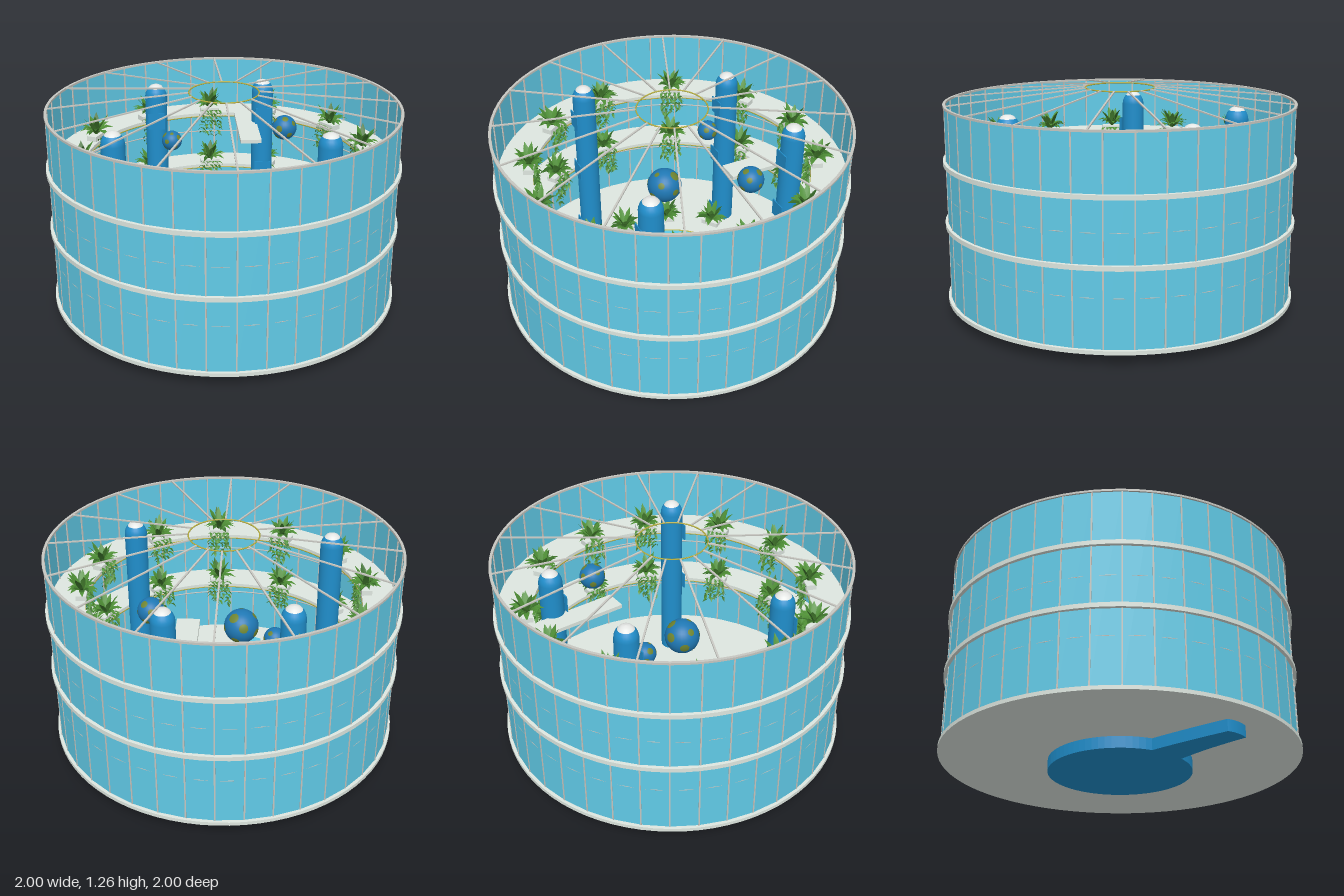
import * as THREE from 'three';
import { mergeGeometries, toCreasedNormals } from 'three/addons/utils/BufferGeometryUtils.js';

const mat = (name, color, double = false) => {
  const m = new THREE.MeshStandardMaterial({ color });
  m.name = name;
  if (double) m.side = THREE.DoubleSide;
  return m;
};

export function createModel() {
  const root = new THREE.Group();
  root.name = 'roundGlassAtrium';
  const M = {
    glass: mat('glass blue', 0x62cdea, true),
    slab: mat('pale concrete', 0xdde6df),
    metal: mat('frame grey', 0xc6c6c0),
    blue: mat('deep blue', 0x208ecb),
    sea: mat('sea blue', 0x1f78b4),
    white: mat('white', 0xf8faf8),
    olive: mat('olive trim', 0xbdb440),
    land: mat('land green', 0x6f8430),
    leaf: mat('leaf green', 0x4f9036, true),
    darkLeaf: mat('dark leaf green', 0x3a7029, true),
  };
  const add = (name, geo, m, parent = root) => {
    const mesh = new THREE.Mesh(geo, m);
    mesh.name = name;
    parent.add(mesh);
    return mesh;
  };
  let seed = 7;
  const rnd = () => (seed = (seed * 16807) % 2147483647) / 2147483647;

  // flat ring with a rectangular section
  const annulus = (ri, ro, y0, y1) => {
    const p = [[ri, y0], [ro, y0], [ro, y1], [ri, y1], [ri, y0]].map(a => new THREE.Vector2(...a));
    return toCreasedNormals(new THREE.LatheGeometry(p, 80), 0.6);
  };
  const hoop = (r, tube, y, arc = Math.PI * 2, start = 0) =>
    new THREE.TorusGeometry(r, tube, 5, 80, arc).rotateZ(start).rotateX(-Math.PI / 2).translate(0, y, 0);

  // floors: ground disc and two galleries
  add('groundFloor', new THREE.CylinderGeometry(1, 1, 0.021, 80).translate(0, 0.0755, 0), M.slab);
  const levels = [0.523, 0.876];
  for (const y of levels) {
    add('gallery', annulus(0.78, 1, y - 0.025, y), M.slab);
    add('galleryTrim', hoop(0.782, 0.005, y - 0.022), M.olive);
  }
  add('bridge', new THREE.BoxGeometry(0.125, 0.022, 0.53).translate(0.18, 0.865, -0.525), M.slab);

  // glass drum and its frame
  const N = 40, R = 0.983;
  const glass = new THREE.CylinderGeometry(R, R, 1.1, N, 1, true).toNonIndexed();
  glass.computeVertexNormals();
  add('glassWall', glass.translate(0, 0.632, 0), M.glass);
  const bars = [];
  for (let i = 0; i < N; i++)
    bars.push(new THREE.BoxGeometry(0.008, 1.1, 0.01).translate(0, 0.632, R - 0.002).rotateY(i * Math.PI * 2 / N));
  add('mullions', mergeGeometries(bars), M.metal);
  for (const y of [0.352, 0.683]) add('transom', hoop(R - 0.005, 0.004, y), M.metal);
  add('topRim', annulus(0.975, 0.99, 1.174, 1.186), M.metal);

  // roof ribs and centre hoop
  const ribs = [];
  const dx = 0.785, dy = 0.077;
  for (let i = 0; i < 16; i++)
    ribs.push(new THREE.BoxGeometry(Math.hypot(dx, dy), 0.007, 0.01)
      .rotateZ(-Math.atan2(dy, dx)).translate(0.59, 1.22, 0).rotateY(i * Math.PI / 8));
  add('roofRibs', mergeGeometries(ribs), M.metal);
  add('roofHoop', hoop(0.195, 0.004, 1.258), M.olive);

  // pool with a curved outlet channel
  const pool = new THREE.Shape();
  pool.moveTo(0, -0.4);
  pool.absarc(0, 0, 0.4, -Math.PI / 2, Math.PI * 4 / 3, false);
  pool.quadraticCurveTo(-0.215, -0.55, -0.21, -0.8);
  pool.quadraticCurveTo(-0.16, -0.835, -0.08, -0.83);
  pool.quadraticCurveTo(-0.055, -0.58, 0, -0.4);
  add('poolBasin', new THREE.ExtrudeGeometry(pool, { depth: 0.085, bevelEnabled: false, curveSegments: 32 })
    .rotateX(-Math.PI / 2), M.blue);
  add('poolWater', new THREE.ShapeGeometry(pool, 32).rotateX(-Math.PI / 2).translate(0, 0.089, 0), M.glass);
  add('poolTrim', hoop(0.4, 0.005, 0.089, Math.PI * 11 / 6, -Math.PI / 2), M.olive);

  // four lift towers with white caps and flush front doors
  const profile = pts => pts.map(a => new THREE.Vector2(...a));
  const shaft = new THREE.LatheGeometry(profile([[0.066, 0.086], [0.066, 1.07], [0.063, 1.09], [0.056, 1.108], [0.045, 1.122]]), 24);
  const cap = new THREE.LatheGeometry(profile([[0.045, 1.122], [0.035, 1.134], [0.02, 1.141], [0, 1.144]]), 24);
  for (const [x, z] of [[-0.38, -0.55], [0.28, -0.61], [-0.61, 0.28], [0.54, 0.38]]) {
    const tower = new THREE.Group();
    tower.name = 'liftTower';
    tower.position.set(x, 0, z);
    add('shaft', shaft, M.blue, tower);
    add('cap', cap, M.white, tower);
    for (const y of [0.086, ...levels])
      add('door', new THREE.BoxGeometry(0.1, 0.1, 0.006).translate(0, y + 0.05, 0.066), M.blue, tower);
    root.add(tower);
  }

  // hanging globes with patches of land
  for (const [x, y, z, r] of [[-0.1, 0.68, 0, 0.1], [0.38, 0.94, -0.29, 0.073], [-0.29, 0.84, -0.38, 0.06]]) {
    const globe = new THREE.Group();
    globe.name = 'globe';
    globe.position.set(x, y, z);
    add('sea', new THREE.SphereGeometry(r, 28, 18), M.sea, globe);
    const patches = [];
    for (let i = 0; i < 11; i++)
      patches.push(new THREE.SphereGeometry(r * 1.012, 9, 3, 0, Math.PI * 2, 0, 0.16 + 0.16 * rnd())
        .rotateX(0.5 + 0.18 * i).rotateY(i * 2.4));
    add('land', mergeGeometries(patches), M.land, globe);
    root.add(globe);
  }

  // arched tapering leaf growing along +z
  const leaf = (len, width, rise, droop) => {
    const g = new THREE.PlaneGeometry(1, 1, 2, 3);
    const p = g.attributes.position;
    for (let i = 0; i < p.count; i++) {
      const t = p.getY(i) + 0.5, s = p.getX(i) * 2;
      const w = width * 0.5 * Math.sin(Math.PI * (0.12 + 0.88 * t));
      // the blade runs base to tip so that its face points up
      p.setXYZ(i, -s * w, rise * t - droop * t * t + Math.abs(s) * w * 0.25, len * t);
    }
    g.computeVertexNormals();
    return g;
  };
  const light = [], dark = [];
  const plant = (x, y, z) => {
    for (let i = 0; i < 26; i++) {
      const inner = i % 3 === 0;
      const g = leaf((inner ? 0.05 : 0.075) + 0.035 * rnd(), 0.036, (inner ? 0.12 : 0.1) + 0.04 * rnd(), inner ? 0.03 : 0.085);
      (i % 4 === 1 ? dark : light).push(g.rotateY(i * 2.4 + rnd() * 0.4).translate(x, y, z));
    }
  };
  // trailing strand hung from a gallery edge
  const vine = (angle, y) => {
    const x = 0.765 * Math.cos(angle), z = 0.765 * Math.sin(angle), n = 5 + Math.floor(rnd() * 4);
    for (let i = 0; i < n; i++)
      for (const side of [0, 2.6])
        (i % 2 ? dark : light).push(leaf(0.028, 0.018, 0.005, 0.025)
          .rotateY(side + rnd() * 2).translate(x, y - i * 0.023, z));
  };

  // gallery planters, repeated on both levels
  const spots = [[-0.04, -0.81], [0.32, -0.75], [0.68, -0.45], [0.8, -0.04], [0.74, 0.32], [0.44, 0.67],
    [0.07, 0.81], [-0.33, 0.73], [-0.66, 0.47], [-0.8, 0.1], [-0.74, -0.35], [-0.43, -0.69]];
  const boxes = [];
  for (const y of levels)
    for (const [x, z] of spots) {
      const a = Math.atan2(z, x);
      boxes.push(new THREE.BoxGeometry(0.06, 0.03, 0.12).rotateY(-a).translate(x, y + 0.015, z));
      plant(x, y + 0.025, z);
      for (let k = -2; k <= 2; k++) vine(a + k * 0.035, y + 0.02);
    }
  // ground planters around the pool
  for (const [x, z] of [[0.01, -0.52], [0.35, -0.41], [0.49, -0.14], [-0.48, -0.19], [-0.49, 0.1], [-0.36, 0.35], [-0.32, -0.44]]) {
    boxes.push(new THREE.BoxGeometry(0.06, 0.03, 0.11).rotateY(-Math.atan2(z, x)).translate(x, 0.101, z));
    plant(x, 0.112, z);
  }
  add('planterBoxes', mergeGeometries(boxes), M.slab);
  add('leaves', mergeGeometries(light), M.leaf);
  add('darkLeaves', mergeGeometries(dark), M.darkLeaf);
  return root;
}
